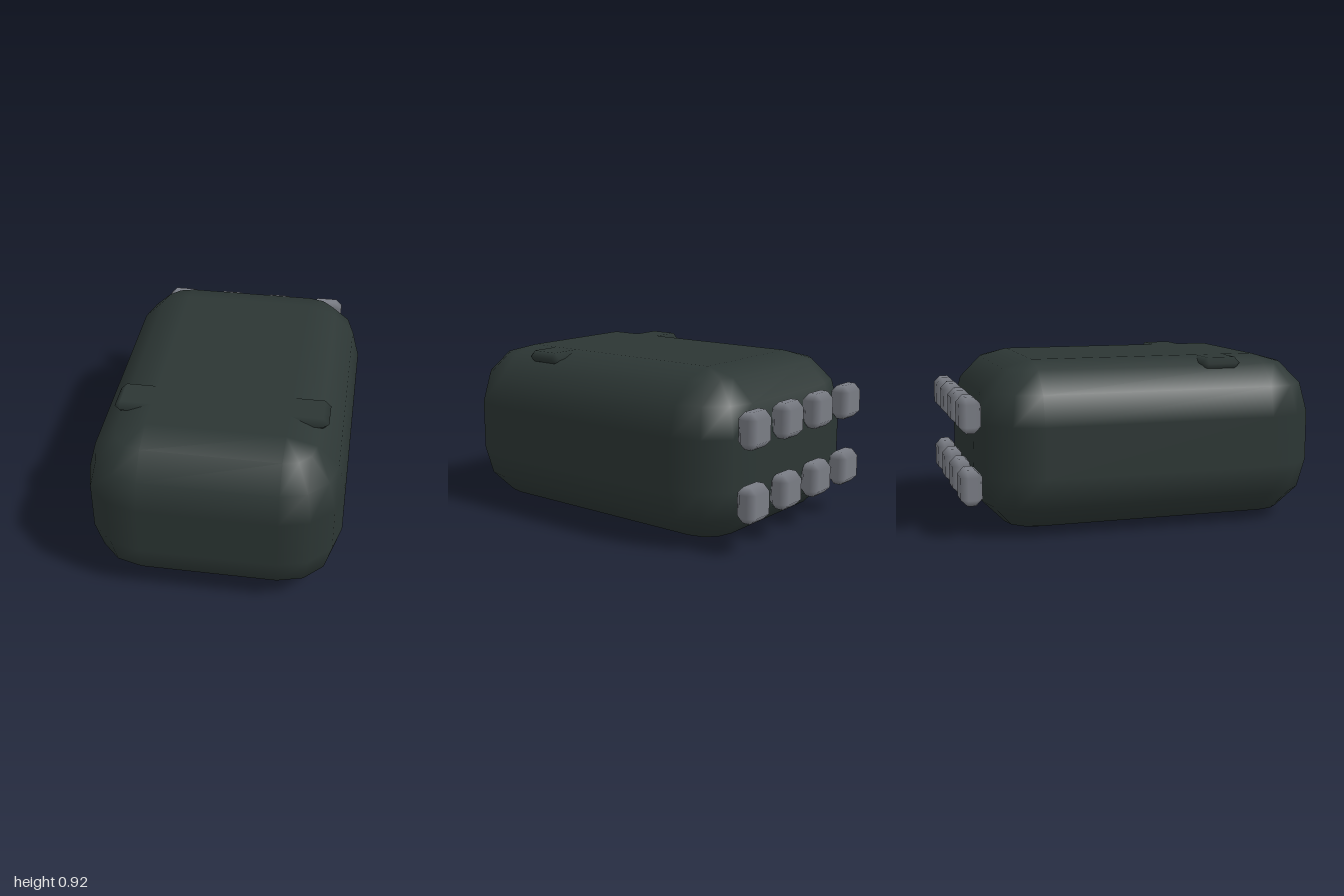
import * as THREE from 'three';

// Box with rounded corners: each quarter turn of the bevel has n equal steps
function bevelBox(w, h, d, r, n) {
  const hx = w / 2 - r, hy = h / 2 - r, hz = d / 2 - r;
  const pos = [], nor = [], idx = [];
  const step = Math.PI / 2 / n;
  const rows = 2 * (n + 1), cols = 4 * (n + 1);
  for (let i = 0; i < rows; i++) {
    const upper = i > n;
    const lat = (upper ? i - n - 1 : i - n) * step;
    for (let j = 0; j < cols; j++) {
      const q = Math.floor(j / (n + 1));
      const lon = (j - q) * step;
      const nx = Math.cos(lat) * Math.cos(lon);
      const ny = Math.sin(lat);
      const nz = -Math.cos(lat) * Math.sin(lon);
      const sx = q === 0 || q === 3 ? 1 : -1;
      const sz = q < 2 ? -1 : 1;
      pos.push(sx * hx + nx * r, (upper ? hy : -hy) + ny * r, sz * hz + nz * r);
      nor.push(nx, ny, nz);
    }
  }
  for (let i = 0; i < rows - 1; i++) {
    for (let j = 0; j < cols; j++) {
      const k = (j + 1) % cols;
      const a = i * cols + j, b = i * cols + k, c = b + cols, e = a + cols;
      idx.push(a, b, c, a, c, e);
    }
  }
  // flat top and bottom
  const s = n + 1, t = (rows - 1) * cols;
  idx.push(t, t + s, t + 2 * s, t, t + 2 * s, t + 3 * s);
  idx.push(0, 2 * s, s, 0, 3 * s, 2 * s);
  const g = new THREE.BufferGeometry();
  g.setAttribute('position', new THREE.Float32BufferAttribute(pos, 3));
  g.setAttribute('normal', new THREE.Float32BufferAttribute(nor, 3));
  g.setIndex(idx);
  return g;
}

export function createModel() {
  const group = new THREE.Group();
  const shell = new THREE.MeshStandardMaterial({ color: 0x2c3634 });
  shell.name = 'dark shell';
  const metal = new THREE.MeshStandardMaterial({ color: 0x7a7d85 });
  metal.name = 'grey studs';

  const add = (name, geometry, material, x, y, z) => {
    const mesh = new THREE.Mesh(geometry, material);
    mesh.name = name;
    mesh.position.set(x, y, z);
    group.add(mesh);
  };

  // Main rounded body
  add('body', bevelBox(1.366, 0.915, 1.905, 0.32, 3), shell, 0, 0.4575, 0.0475);

  // Cross strap sunk into the top, with its ends showing at the shoulders
  add('strap', bevelBox(1.138, 0.067, 0.224, 0.0334, 1), shell, 0, 0.881, 0.427);

  // Two rows of four studs on the back
  const stud = bevelBox(0.19, 0.19, 0.115, 0.036, 1);
  for (const y of [0.27, 0.65]) {
    for (let i = 0; i < 4; i++) {
      add('stud', stud, metal, -0.459 + i * 0.305, y, -0.9425);
    }
  }
  return group;
}
